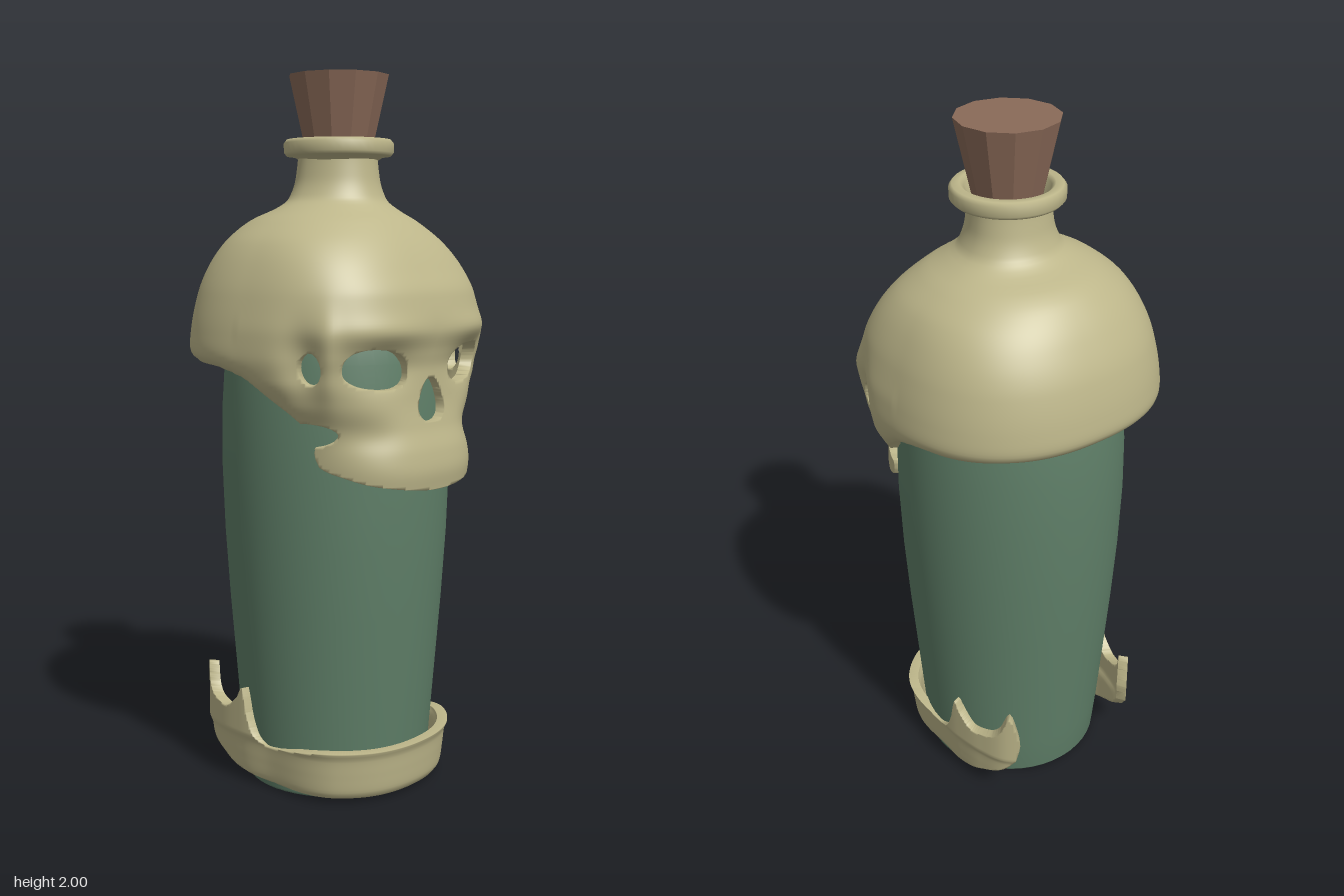
import * as THREE from 'three';
import { mergeVertices } from 'three/addons/utils/BufferGeometryUtils.js';

const mat = (color, extra = {}) => new THREE.MeshStandardMaterial({ color, ...extra });
const RAD = Math.PI / 180;

// Smooth, overshoot-free function through [x, y] knots
function curve(knots) {
  const slope = i => (knots[i + 1][1] - knots[i][1]) / (knots[i + 1][0] - knots[i][0]);
  const tangent = i => {
    if (i === 0 || i === knots.length - 1) return 0;
    const a = slope(i - 1), b = slope(i);
    return a * b <= 0 ? 0 : (2 * a * b) / (a + b);
  };
  const last = knots.length - 1;
  return x => {
    if (x <= knots[0][0]) return knots[0][1];
    if (x >= knots[last][0]) return knots[last][1];
    let i = 0;
    while (x > knots[i + 1][0]) i++;
    const h = knots[i + 1][0] - knots[i][0], t = (x - knots[i][0]) / h;
    const t2 = t * t, t3 = t2 * t;
    return (2 * t3 - 3 * t2 + 1) * knots[i][1] + (t3 - 2 * t2 + t) * h * tangent(i)
      + (3 * t2 - 2 * t3) * knots[i + 1][1] + (t3 - t2) * h * tangent(i + 1);
  };
}

// Thick shell around the y axis, trimmed to where keep(angle, y, point) > 0
function shell({ angle, y0, y1, cols, rows, radius, thickness, keep }) {
  const at = (t, y, r) => new THREE.Vector3(Math.sin(t) * r, y, Math.cos(t) * r);
  const grid = [];
  for (let j = 0; j <= rows; j++) {
    for (let i = 0; i <= cols; i++) {
      const t = angle * (2 * i / cols - 1), y = y0 + (y1 - y0) * j / rows, r = radius(t, y);
      const o = at(t, y, r);
      grid.push({ o, i: at(t, y, r - thickness), f: keep(t, y, o) });
    }
  }
  const pos = [];
  const tri = (...p) => p.forEach(v => pos.push(v.x, v.y, v.z));
  const cut = (a, b) => {
    const k = a.f / (a.f - b.f);
    return { o: a.o.clone().lerp(b.o, k), i: a.i.clone().lerp(b.i, k) };
  };
  const clip = corners => {
    const poly = [];
    let p = null, q = null;
    corners.forEach((a, n) => {
      const b = corners[(n + 1) % 3];
      if (a.f > 0) poly.push(a);
      if (a.f > 0 && b.f <= 0) poly.push(p = cut(a, b));
      if (a.f <= 0 && b.f > 0) poly.push(q = cut(a, b));
    });
    for (let n = 1; n + 1 < poly.length; n++) {
      tri(poly[0].o, poly[n].o, poly[n + 1].o);
      tri(poly[0].i, poly[n + 1].i, poly[n].i);
    }
    if (p && q) {
      tri(q.o, p.o, p.i);
      tri(q.o, p.i, q.i);
    }
  };
  for (let j = 0; j < rows; j++) {
    for (let i = 0; i < cols; i++) {
      const a = grid[j * (cols + 1) + i], b = grid[j * (cols + 1) + i + 1];
      const d = grid[(j + 1) * (cols + 1) + i], c = grid[(j + 1) * (cols + 1) + i + 1];
      clip([a, b, c]);
      clip([a, c, d]);
    }
  }
  const geo = new THREE.BufferGeometry();
  geo.setAttribute('position', new THREE.Float32BufferAttribute(pos, 3));
  const merged = mergeVertices(geo, 1e-4);
  merged.computeVertexNormals();
  return merged;
}

const bump = (dx, dy, sx, sy) => Math.exp(-((dx / sx) ** 2) - (dy / sy) ** 2);
const oval = (dx, dy, rx, ry, n = 2) =>
  ((Math.abs(dx / rx) ** n + Math.abs(dy / ry) ** n) ** (1 / n) - 1) * Math.min(rx, ry);

// Skull: side, front and back outlines by height
function skullGeometry() {
  const side = curve([[0.86, 0.29], [0.96, 0.3], [1.05, 0.32], [1.12, 0.36], [1.18, 0.39], [1.24, 0.4], [1.3, 0.395],
    [1.4, 0.375], [1.47, 0.35], [1.54, 0.31], [1.6, 0.24], [1.63, 0.185], [1.66, 0.14], [1.72, 0.117], [1.8, 0.11]]);
  const front = curve([[0.86, 0.378], [0.93, 0.386], [0.98, 0.38], [1.05, 0.36], [1.13, 0.348], [1.2, 0.347], [1.25, 0.356],
    [1.31, 0.37], [1.4, 0.355], [1.47, 0.32], [1.54, 0.275], [1.6, 0.22], [1.63, 0.18], [1.66, 0.152], [1.72, 0.135], [1.8, 0.128]]);
  const back = curve([[1.15, 0.38], [1.24, 0.387], [1.3, 0.382], [1.4, 0.362], [1.5, 0.318], [1.58, 0.258], [1.61, 0.215],
    [1.635, 0.15], [1.66, 0.12], [1.72, 0.1], [1.8, 0.092]]);
  const power = curve([[1.45, 1], [1.66, 0]]);
  // Lower edge by angle from the front
  const low = curve([[0, 0.878], [30, 0.9], [45, 0.925], [56, 0.952], [60, 1.03], [66, 1.08], [75, 1.125], [90, 1.185],
    [110, 1.21], [180, 1.22]]);
  const radius = (t, y) => {
    const s = Math.abs(Math.sin(t)), c = Math.cos(t), deg = Math.abs(t) / RAD;
    const n = 2 + power(y) * (c > 0 ? 0.75 : 0.3);
    let r = ((s / side(y)) ** n + (Math.abs(c) / (c > 0 ? front(y) : back(y))) ** n) ** (-1 / n);
    const x = s * r;
    if (c > 0) {
      r -= 0.026 * bump(x - 0.19, y - 1.21, 0.1, 0.06);     // eye sockets
      r += 0.01 * bump(x - 0.2, y - 1.31, 0.14, 0.035);     // brow
      r -= 0.012 * bump(x - 0.22, y - 1.03, 0.07, 0.05);    // below the cheeks
      r += 0.014 * bump(deg - 51, y - 1.24, 4, 0.1);        // outer eye rims
      r -= 0.03 * bump(deg - 61, y - 1.23, 7, 0.09);        // temples
    }
    // Lower rim of the cranium rolls inward
    return r - 0.025 * THREE.MathUtils.smoothstep(deg, 65, 100) * Math.exp(-Math.max(0, y - low(deg)) / 0.012);
  };
  const keep = (t, y, p) => {
    const deg = Math.abs(t) / RAD, x = Math.abs(p.x);
    let f = Math.min(y - low(deg), oval((deg - 62) / 100, y - 1.035, 0.15, 0.033));
    if (p.z > 0) {
      const noseWidth = 0.06 * (1 - 0.45 * THREE.MathUtils.smoothstep(y, 1.08, 1.19));
      f = Math.min(f,
        oval(x - 0.19, y - 1.21 - (x - 0.19) * 0.1, 0.1, 0.054, 2.4),
        oval(x, y - 1.12, noseWidth, 0.06, 2.7));
      if (x > 0.25) f = Math.min(f, oval(p.z - 0.208, y - 1.215, 0.033, 0.043));
    }
    return f;
  };
  return shell({ angle: Math.PI, y0: 0.86, y1: 1.79, cols: 220, rows: 94, radius, thickness: 0.035, keep });
}

// Lower jaw: band around the base with two prongs at each rear end
function jawGeometry() {
  const around = curve([[0, 0.322], [30, 0.328], [48, 0.325], [90, 0.284], [110, 0.303], [125, 0.33], [140, 0.362], [155, 0.37]]);
  const high = curve([[0, 0.15], [50, 0.152], [90, 0.13], [99, 0.15], [104, 0.2], [108, 0.285], [112, 0.25], [122, 0.213],
    [131, 0.225], [136, 0.25], [141, 0.312], [146, 0.22], [149, 0.1]]);
  const low = curve([[0, 0.012], [90, 0.018], [115, 0.035], [128, 0.065], [138, 0.1], [144, 0.15], [149, 0.3]]);
  const lean = curve([[0, -0.03], [0.03, -0.013], [0.08, -0.006], [0.13, 0], [0.15, 0.008], [0.32, 0.008]]);
  return shell({
    angle: 160 * RAD, y0: 0, y1: 0.33, cols: 220, rows: 40, thickness: 0.03,
    radius: (t, y) => around(Math.abs(t) / RAD) + lean(y),
    keep: (t, y) => Math.min(y - low(Math.abs(t) / RAD), high(Math.abs(t) / RAD) - y),
  });
}

export function createModel() {
  const group = new THREE.Group();
  const bone = mat(0xbdb68a, { side: THREE.DoubleSide });
  const add = (name, geometry, material, y = 0, z = 0) => {
    const mesh = new THREE.Mesh(geometry, material);
    mesh.name = name;
    mesh.position.set(0, y, z);
    group.add(mesh);
  };
  const lathe = (points, segments) =>
    new THREE.LatheGeometry(points.map(p => new THREE.Vector2(...p)), segments);

  // Glass body with a hollowed base
  add('bottle', lathe([[0, 0.045], [0.12, 0.04], [0.22, 0.018], [0.25, 0.002], [0.258, 0], [0.264, 0.008], [0.275, 0.12],
    [0.291, 0.32], [0.307, 0.52], [0.32, 0.72], [0.327, 0.92], [0.325, 1.08], [0.316, 1.22], [0.295, 1.36], [0.24, 1.48],
    [0.15, 1.57], [0.08, 1.62], [0.08, 1.74]], 48), mat(0x5f7f68, { side: THREE.DoubleSide }), 0, 0.006);

  add('skull', skullGeometry(), bone);
  add('jaw', jawGeometry(), bone);

  // Rounded lip around the neck
  add('neckRing', lathe([[0.1, 1.76], [0.125, 1.777], [0.146, 1.779], [0.154, 1.788], [0.154, 1.814], [0.146, 1.824],
    [0.125, 1.825], [0.114, 1.816], [0.1, 1.77]], 40), bone, 0, 0.017);

  // Tapered stopper
  add('cork', new THREE.CylinderGeometry(0.141, 0.085, 0.25, 12), mat(0x8a6a58, { flatShading: true }), 1.875, 0.017);
  return group;
}
